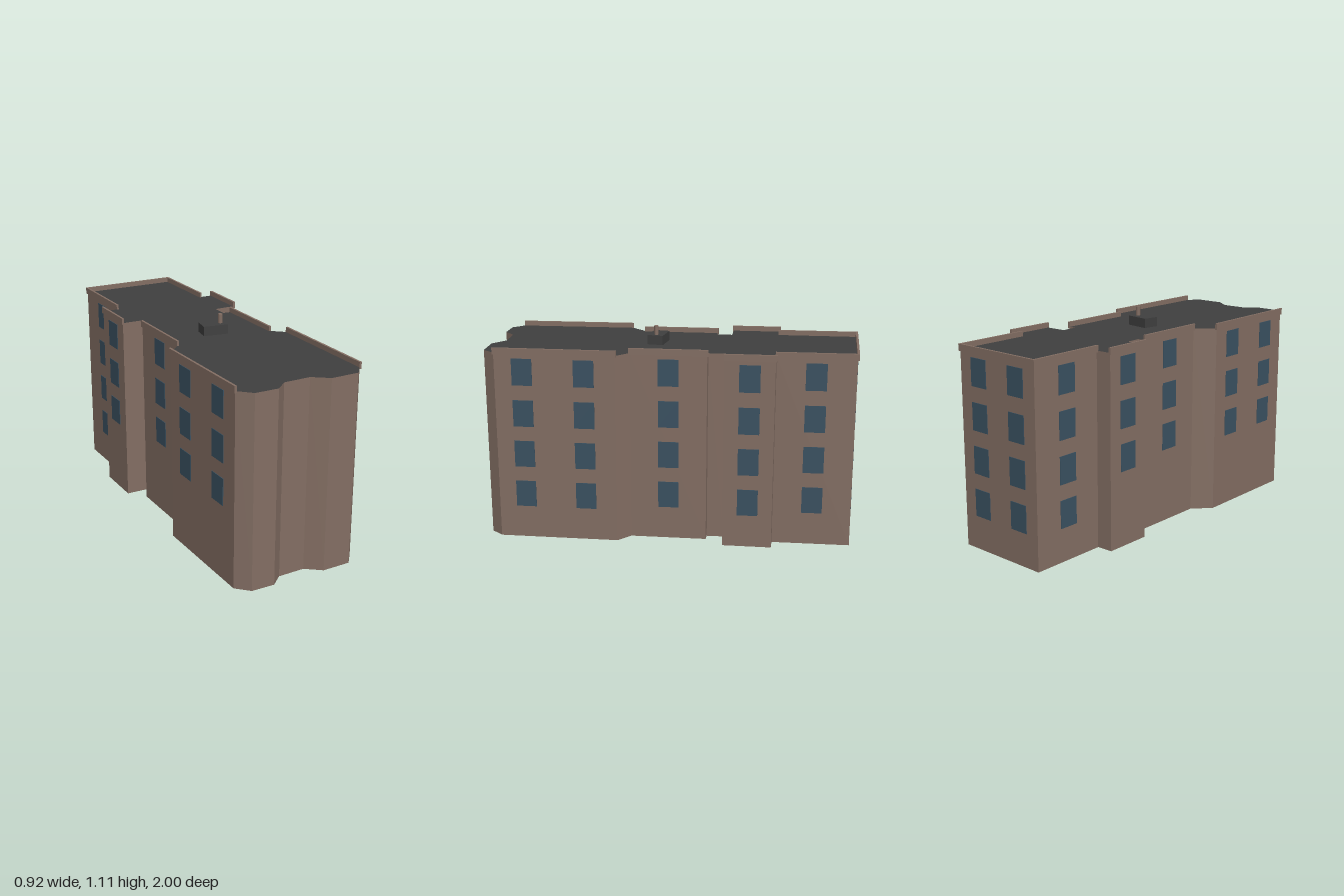
import * as THREE from 'three';

const brick = new THREE.MeshStandardMaterial({ name: 'brick', color: 0x836e63 });
const roofing = new THREE.MeshStandardMaterial({ name: 'roofing', color: 0x3f3f3f });
const glass = new THREE.MeshStandardMaterial({ name: 'glass', color: 0x3a5161 });

const ROOF = 1.015;
const ALL_ROWS = [0.247, 0.47, 0.692, 0.915];
const UPPER_ROWS = ALL_ROWS.slice(1);

// Footprint corners [x, z], from the back wall down the left side and around
const PLAN = [
  [-0.44, -0.925], [0.08, -0.995], [0.148, -0.592], [0.222, -0.602], [0.262, -0.347],
  [0.146, -0.327], [0.161, -0.238], [0.205, -0.243], [0.27, 0.155], [0.35, 0.207],
  [0.45, 0.835], [0.408, 0.906], [0.257, 0.932], [0.168, 0.884], [0.026, 0.91],
  [-0.028, 0.975], [-0.152, 0.993], [-0.226, 0.94], [-0.333, 0.33], [-0.262, 0.228],
  [-0.328, -0.168], [-0.288, -0.177], [-0.302, -0.257], [-0.416, -0.241],
  [-0.457, -0.495], [-0.372, -0.51],
];

// Walls with a parapet: index of the first corner, window positions along the wall, rows
const FACADES = [
  [0, [0.25, 0.75], ALL_ROWS],
  [1, [0.5], ALL_ROWS],
  [3, [0.5], ALL_ROWS],
  [7, [0.5], ALL_ROWS],
  [9, [0.26, 0.77], ALL_ROWS],
  [17, [0.25, 0.76], UPPER_ROWS],
  [19, [0.5], UPPER_ROWS],
  [23, [0.5], UPPER_ROWS],
  [25, [0.5], ALL_ROWS],
];

function box(name, w, h, d, material, x, y, z) {
  const mesh = new THREE.Mesh(new THREE.BoxGeometry(w, h, d), material);
  mesh.name = name;
  mesh.position.set(x, y, z);
  return mesh;
}

// A group whose x axis runs along the wall and whose -z axis points outward
function facade([index, columns, rows]) {
  const [x0, z0] = PLAN[index];
  const [x1, z1] = PLAN[(index + 1) % PLAN.length];
  const length = Math.hypot(x1 - x0, z1 - z0);
  const group = new THREE.Group();
  group.name = 'facade';
  group.position.set(x0, 0, z0);
  group.rotation.y = Math.atan2(z0 - z1, x1 - x0);

  group.add(box('parapet', length + 0.012, 0.035, 0.012, brick, length / 2, 1.024, -0.001));
  for (const t of columns) {
    for (const y of rows) {
      group.add(box('window', 0.108, 0.143, 0.006, glass, t * length, y, 0));
    }
  }
  return group;
}

export function createModel() {
  const model = new THREE.Group();
  model.name = 'apartmentBlock';

  // Walls, with a dark flat roof and underside
  const shape = new THREE.Shape(PLAN.map(([x, z]) => new THREE.Vector2(x, -z)));
  const geometry = new THREE.ExtrudeGeometry(shape, { depth: ROOF, bevelEnabled: false });
  geometry.rotateX(-Math.PI / 2);
  const body = new THREE.Mesh(geometry, [roofing, brick]);
  body.name = 'wallsAndRoof';
  model.add(body);

  // Windows and parapets
  for (const entry of FACADES) model.add(facade(entry));

  // Rooftop housing with its flue
  model.add(box('roofHousing', 0.132, 0.05, 0.085, roofing, -0.018, ROOF + 0.025, 0.083));
  const flue = new THREE.Mesh(new THREE.CylinderGeometry(0.012, 0.012, 0.05, 10), brick);
  flue.name = 'flue';
  flue.position.set(0.022, 1.088, 0.083);
  model.add(flue);

  return model;
}
